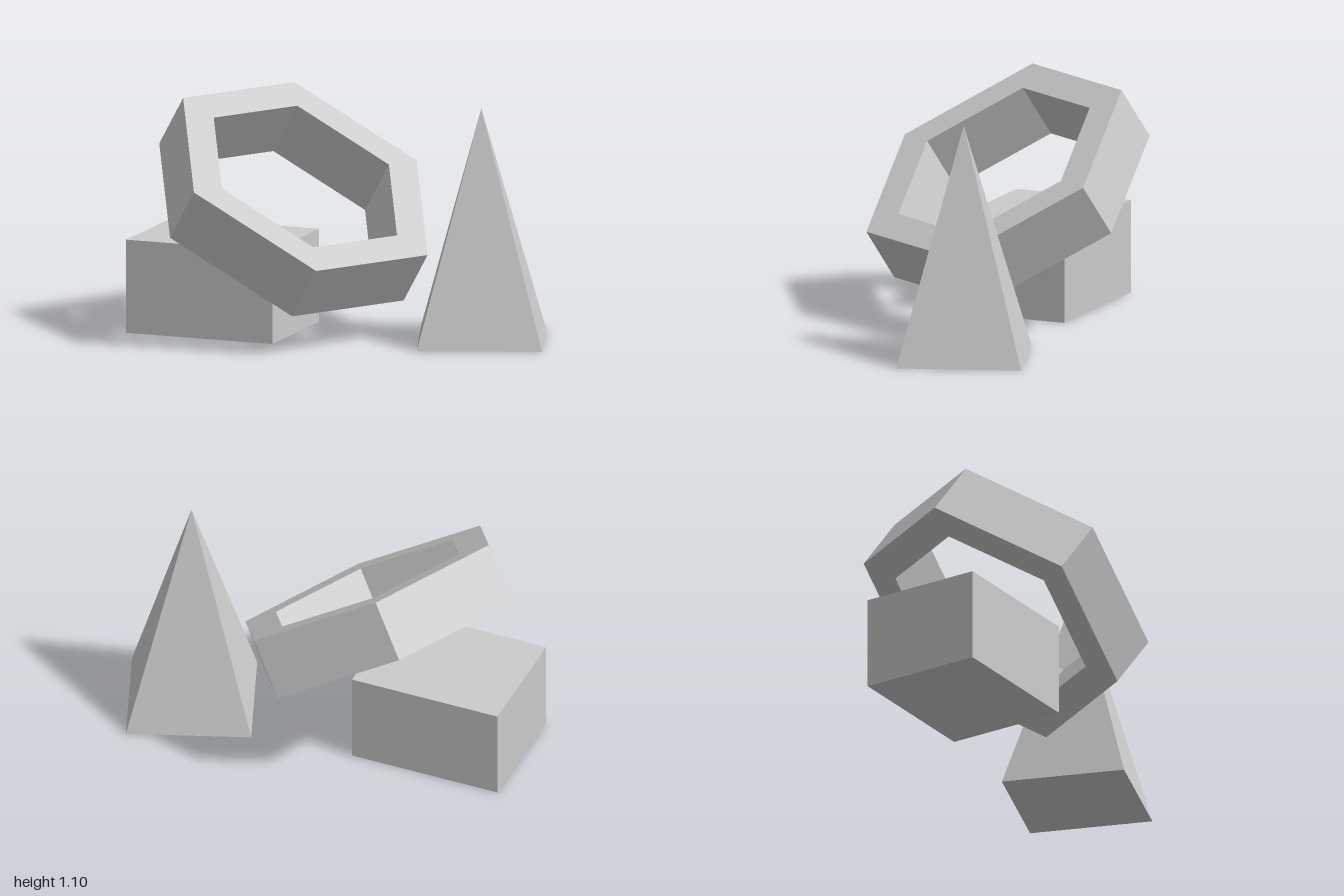
import * as THREE from 'three';

const material = new THREE.MeshStandardMaterial({ color: 0xcccccc, flatShading: true });

function addMesh(group, name, geometry) {
  const mesh = new THREE.Mesh(geometry, material);
  mesh.name = name;
  group.add(mesh);
  return mesh;
}

// Corners of a regular hexagon
function hexagon(radius) {
  return Array.from({ length: 6 }, (_, i) => {
    const a = (i * Math.PI) / 3;
    return new THREE.Vector2(radius * Math.cos(a), radius * Math.sin(a));
  });
}

export function createModel() {
  const group = new THREE.Group();
  group.name = 'primitiveSolids';

  // Rectangular block, turned slightly about the vertical
  const block = addMesh(group, 'block', new THREE.BoxGeometry(0.736, 0.443, 0.585));
  block.position.set(-0.587, 0.2215, -0.071);
  block.rotation.y = -0.176;

  // Tall square pyramid
  const pyramid = addMesh(group, 'pyramid', new THREE.ConeGeometry(0.414, 1.1, 4));
  pyramid.position.set(0.656, 0.55, -0.026);
  pyramid.rotation.y = -0.609;

  // Tilted hexagonal ring, extruded along its own axis
  const shape = new THREE.Shape(hexagon(0.683));
  shape.holes.push(new THREE.Path(hexagon(0.512).reverse()));
  const depth = 0.293;
  const ringGeometry = new THREE.ExtrudeGeometry(shape, { depth, bevelEnabled: false });
  ringGeometry.translate(0, 0, -depth);
  const ring = addMesh(group, 'hexagonalRing', ringGeometry);
  const axis = new THREE.Vector3(0.461, 0.82, 0.341).normalize();
  const toCorner = new THREE.Vector3(0.5875, -0.345, 0.03).projectOnPlane(axis).normalize();
  const across = new THREE.Vector3().crossVectors(axis, toCorner);
  ring.quaternion.setFromRotationMatrix(new THREE.Matrix4().makeBasis(toCorner, across, axis));
  ring.position.set(-0.168, 0.756, 0.045);

  return group;
}
